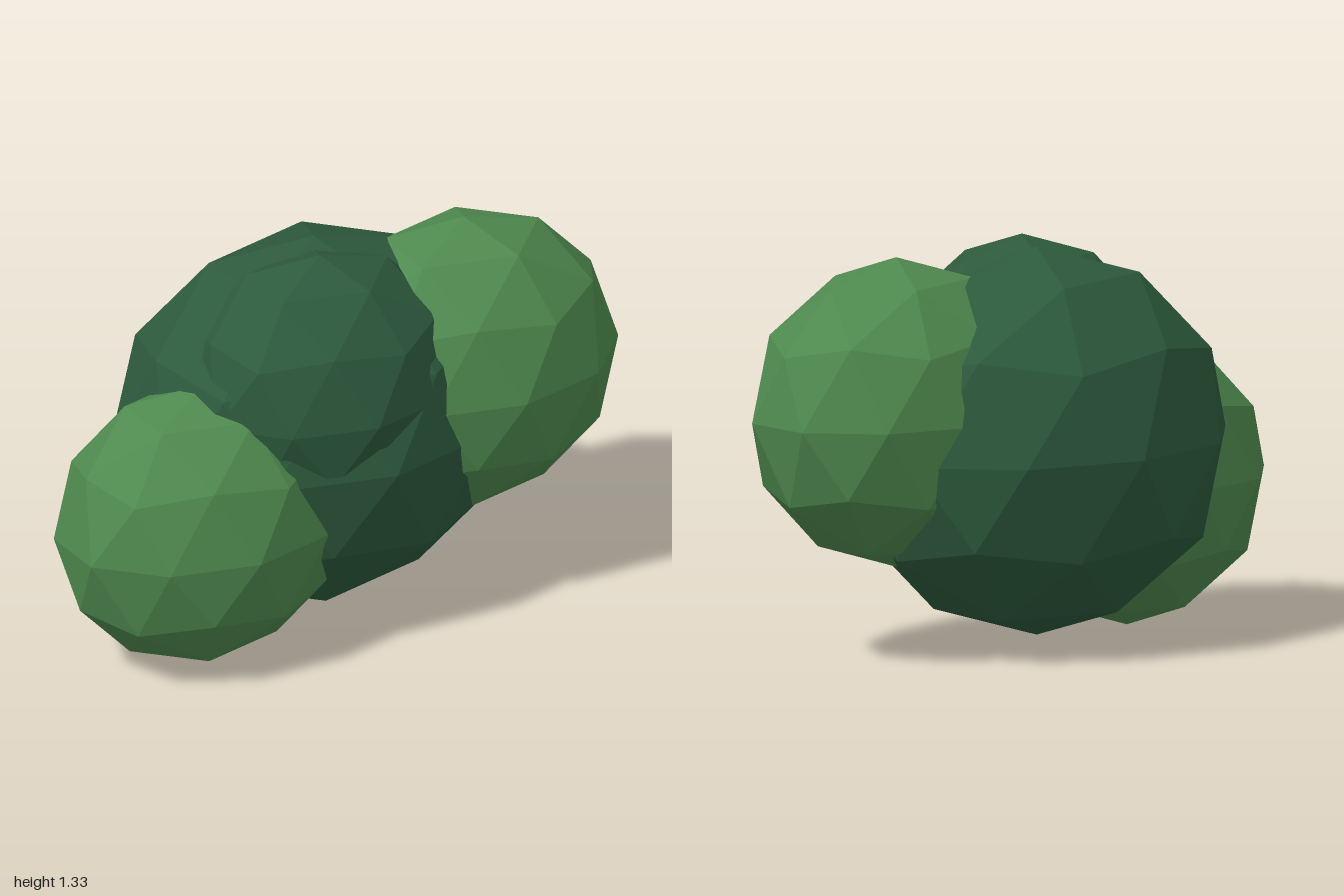
import * as THREE from 'three';

// Low-poly foliage clump: four overlapping faceted ellipsoids
export function createModel() {
  const group = new THREE.Group();
  group.name = 'bush';

  const dark = new THREE.MeshStandardMaterial({ color: 0x2d5a3d, flatShading: true });
  const light = new THREE.MeshStandardMaterial({ color: 0x4f8a4f, flatShading: true });

  // Icosphere turned so that one of its corners points straight up
  const tilt = -Math.atan(2 / (1 + Math.sqrt(5)));

  function addClump(name, material, center, radii) {
    const geometry = new THREE.IcosahedronGeometry(1, 1);
    geometry.rotateZ(tilt);
    geometry.scale(...radii);
    geometry.computeVertexNormals();
    const mesh = new THREE.Mesh(geometry, material);
    mesh.name = name;
    mesh.position.set(...center);
    group.add(mesh);
  }

  addClump('mainFoliage', dark, [0, 0.68, 0], [0.7, 0.64, 0.54]);
  addClump('upperFrontFoliage', dark, [-0.07, 0.87, 0.155], [0.485, 0.465, 0.383]);
  addClump('leftFoliage', light, [0.49, 0.81, 0.13], [0.536, 0.51, 0.405]);
  addClump('rightFoliage', light, [-0.515, 0.487, 0.15], [0.51, 0.487, 0.386]);

  return group;
}
